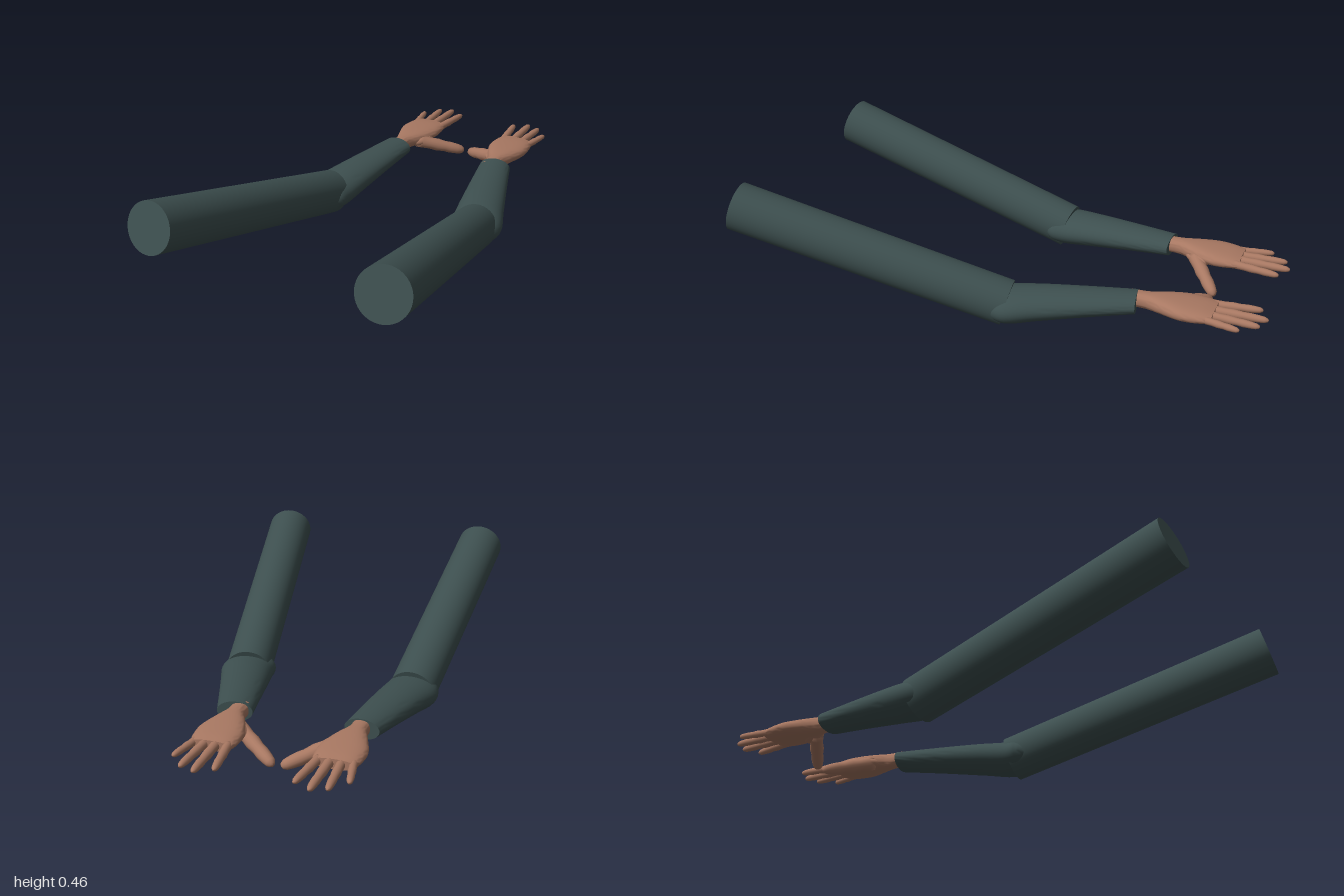
import * as THREE from 'three';
import { toCreasedNormals } from 'three/addons/utils/BufferGeometryUtils.js';

const sleeve = new THREE.MeshStandardMaterial({ color: 0x3d4f4f });
sleeve.name = 'dark green sleeve';
const skin = new THREE.MeshStandardMaterial({ color: 0xa87862 });
skin.name = 'skin';

const V = (p) => new THREE.Vector3(...p);

function part(name, geometry, material) {
  const mesh = new THREE.Mesh(geometry, material);
  mesh.name = name;
  return mesh;
}

// Place a geometry that runs along +y from its origin so it runs from a towards b
function aim(mesh, a, b) {
  mesh.position.copy(V(a));
  mesh.quaternion.setFromUnitVectors(new THREE.Vector3(0, 1, 0), V(b).sub(V(a)).normalize());
  return mesh;
}

// Closed skin over cross-sections [x, y, z, halfWidth, halfHeight] that advance to -z.
// power < 1 squares the sections off; yaw leans each ring to follow the limb.
function loft(sections, { power = 1, yaw = 0, steps = 4, sides = 32 } = {}) {
  const centres = new THREE.CatmullRomCurve3(sections.map((s) => V(s.slice(0, 3))));
  const radii = new THREE.CatmullRomCurve3(sections.map((s) => V([s[3], s[4], s[2]])));
  const rows = (sections.length - 1) * steps;
  const pos = [], index = [];
  const bend = (v) => Math.sign(v) * Math.abs(v) ** power;
  for (let i = 0; i <= rows; i++) {
    const c = centres.getPoint(i / rows), r = radii.getPoint(i / rows);
    for (let j = 0; j < sides; j++) {
      const t = (j / sides) * Math.PI * 2;
      const dx = r.x * bend(Math.cos(t));
      pos.push(c.x + dx, c.y + r.y * bend(Math.sin(t)), c.z + yaw * dx);
    }
  }
  for (let i = 0; i < rows; i++) {
    for (let j = 0; j < sides; j++) {
      const k = (j + 1) % sides;
      const a = i * sides + j, b = i * sides + k;
      index.push(a, a + sides, b, b, a + sides, b + sides);
    }
  }
  // end caps
  const first = pos.length / 3;
  pos.push(...sections[0].slice(0, 3), ...sections[sections.length - 1].slice(0, 3));
  for (let j = 0; j < sides; j++) {
    const k = (j + 1) % sides, e = rows * sides;
    index.push(first, j, k, first + 1, e + k, e + j);
  }
  const g = new THREE.BufferGeometry();
  g.setAttribute('position', new THREE.Float32BufferAttribute(pos, 3));
  g.setIndex(index);
  return toCreasedNormals(g, 0.9);
}

// Finger with slight swellings at the joints and a rounded tip
function finger(name, a, b, r) {
  const len = V(a).distanceTo(V(b));
  const profile = [[0, 0], [1, 0], [1, 0.1], [0.9, 0.28], [0.98, 0.42], [0.83, 0.58],
    [0.88, 0.7], [0.78, 0.84], [0.66, 0.93], [0.38, 0.985], [0, 1]];
  const points = profile.map(([w, h]) => new THREE.Vector2(w * r, h * len));
  return aim(part(name, new THREE.LatheGeometry(points, 16), skin), a, b);
}

// Hand reaching to -z, thumb on the inner side; side is +1 for the model's left
function hand(side) {
  const g = new THREE.Group();
  g.name = 'hand';
  const X = (x) => (side < 0 ? x : -0.21 - x);
  const at = ([x, y, z]) => [X(x), y, z];
  g.add(part('palm', loft([
    [-0.33, 0.132, -0.49, 0.034, 0.028],
    [-0.328, 0.133, -0.56, 0.034, 0.03],
    [-0.324, 0.134, -0.62, 0.058, 0.031],
    [-0.322, 0.134, -0.70, 0.083, 0.029],
    [-0.320, 0.134, -0.77, 0.081, 0.024],
    [-0.318, 0.134, -0.81, 0.073, 0.018],
  ].map(([x, ...rest]) => [X(x), ...rest]), { power: 0.8 }), skin));

  const fingers = [
    ['littleFinger', -0.379, -0.405, -0.918, 0.0145],
    ['ringFinger', -0.341, -0.353, -0.98, 0.0165],
    ['middleFinger', -0.303, -0.299, -1.0, 0.0175],
    ['indexFinger', -0.264, -0.239, -0.968, 0.0165],
  ];
  for (const [name, x0, x1, z1, r] of fingers) {
    g.add(finger(name, at([x0, 0.134, -0.78]), at([x1, 0.135, z1]), r));
  }

  // thumb and the muscle at its root
  g.add(finger('thumb', at([-0.29, 0.125, -0.625]), at([-0.119, 0.064, -0.752]), 0.028));
  const root = part('thumbRoot', new THREE.SphereGeometry(1, 24, 16), skin);
  root.scale.set(0.04, 0.025, 0.06);
  root.position.set(X(-0.285), 0.123, -0.645);
  root.rotation.y = side * 0.5;
  g.add(root);
  return g;
}

// Whole arm: shoulder and elbow are the ends of the upper sleeve
function arm(name, side, shoulder, elbow, wristX) {
  const g = new THREE.Group();
  g.name = name;

  const len = V(shoulder).distanceTo(V(elbow));
  const tube = new THREE.CylinderGeometry(0.088, 0.094, len, 48).translate(0, len / 2, 0);
  g.add(aim(part('upperSleeve', tube, sleeve), shoulder, elbow));

  const ex = elbow[0], slope = (wristX - ex) / 0.45;
  const x = (z) => ex + slope * (-0.07 - z);
  g.add(part('foreSleeve', loft([
    [ex, 0.088, 0.02, 0.07, 0.045],
    [ex, 0.086, -0.02, 0.094, 0.06],
    [ex, 0.086, -0.07, 0.1, 0.065],
    [x(-0.18), 0.098, -0.18, 0.092, 0.06],
    [x(-0.35), 0.114, -0.35, 0.078, 0.049],
    [wristX, 0.128, -0.523, 0.064, 0.038],
  ], { yaw: slope * 0.6, sides: 40 }), sleeve));

  g.add(hand(side));
  return g;
}

export function createModel() {
  const model = new THREE.Group();
  model.name = 'arms';
  model.add(
    arm('rightArm', -1, [-0.45, 0.373, 0.975], [-0.398, 0.086, -0.06], -0.332),
    arm('leftArm', 1, [0.448, 0.373, 0.975], [0.264, 0.086, -0.06], 0.136),
  );
  return model;
}
